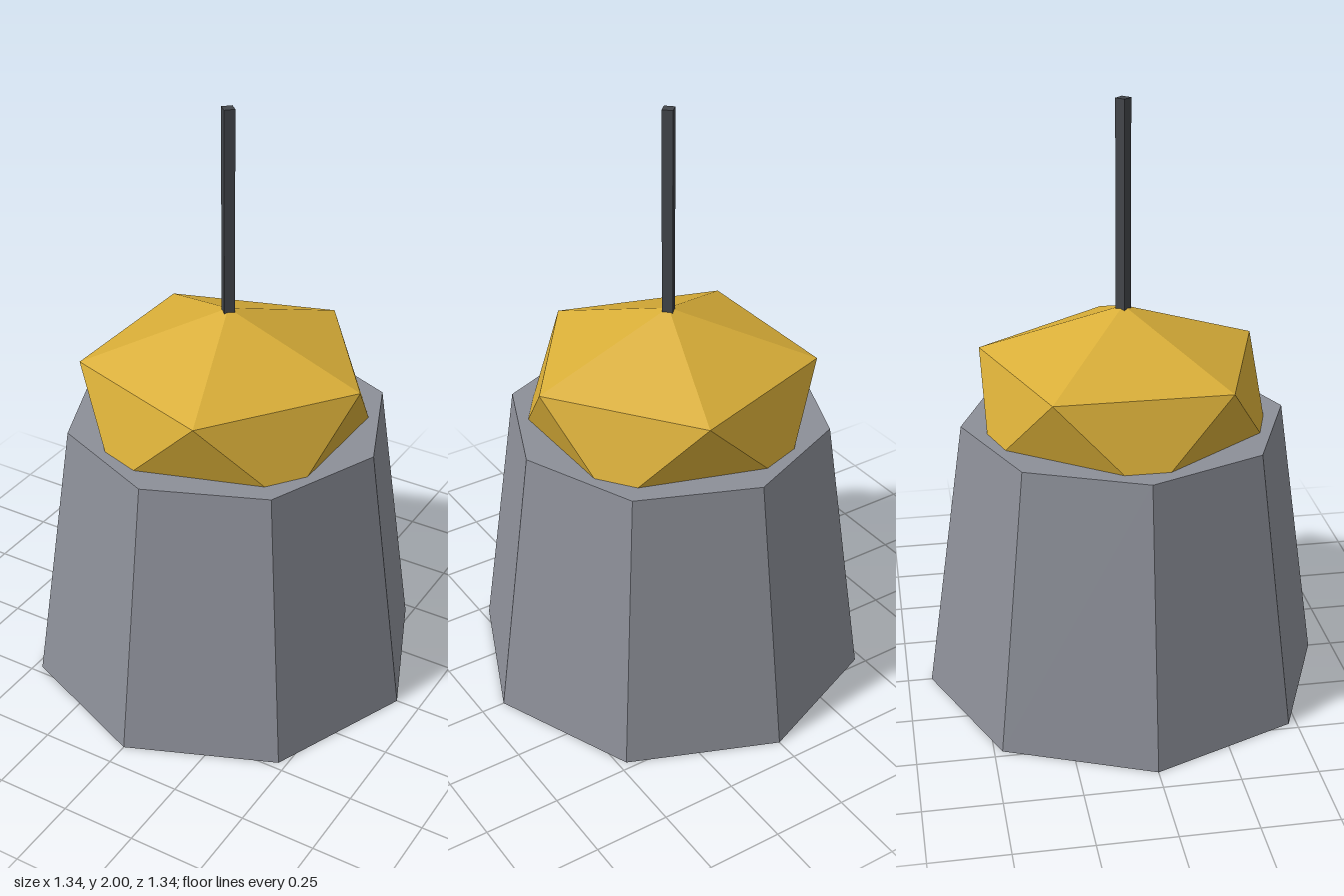
import * as THREE from 'three';

const stone = new THREE.MeshStandardMaterial({ color: 0x8c8f98, flatShading: true });
stone.name = 'stone grey';
const gold = new THREE.MeshStandardMaterial({ color: 0xd9ae38, flatShading: true });
gold.name = 'gold';
const dark = new THREE.MeshStandardMaterial({ color: 0x43464b, flatShading: true });
dark.name = 'dark grey';

// Twenty-sided gem standing on a point, from two staggered rings of five
function gemGeometry(radius, bottomY, lowerY, upperY, topY) {
  const ring = (i, y, turn) => {
    const a = (i * 2 * Math.PI) / 5 + turn;
    return [radius * Math.cos(a), y, radius * Math.sin(a)];
  };
  const top = [0, topY, 0];
  const bottom = [0, bottomY, 0];
  const corners = [];
  for (let i = 0; i < 5; i++) {
    const u0 = ring(i, upperY, 0);
    const u1 = ring(i + 1, upperY, 0);
    const l0 = ring(i, lowerY, Math.PI / 5);
    const l1 = ring(i + 1, lowerY, Math.PI / 5);
    corners.push(...top, ...u1, ...u0);
    corners.push(...u0, ...u1, ...l0);
    corners.push(...u1, ...l1, ...l0);
    corners.push(...bottom, ...l0, ...l1);
  }
  const geometry = new THREE.BufferGeometry();
  geometry.setAttribute('position', new THREE.Float32BufferAttribute(corners, 3));
  geometry.computeVertexNormals();
  return geometry;
}

export function createModel() {
  const group = new THREE.Group();
  const add = (name, geometry, material, y = 0) => {
    const mesh = new THREE.Mesh(geometry, material);
    mesh.name = name;
    mesh.position.y = y;
    group.add(mesh);
  };

  // Tapered eight-sided base
  add('base', new THREE.CylinderGeometry(0.536, 0.67, 0.94, 8), stone, 0.47);
  // Faceted cap sunk into the base
  add('cap', gemGeometry(0.48, 0.695, 0.865, 1.155, 1.327), gold);
  // Thin square rod
  add('rod', new THREE.CylinderGeometry(0.025, 0.025, 0.7, 4), dark, 1.65);
  return group;
}
